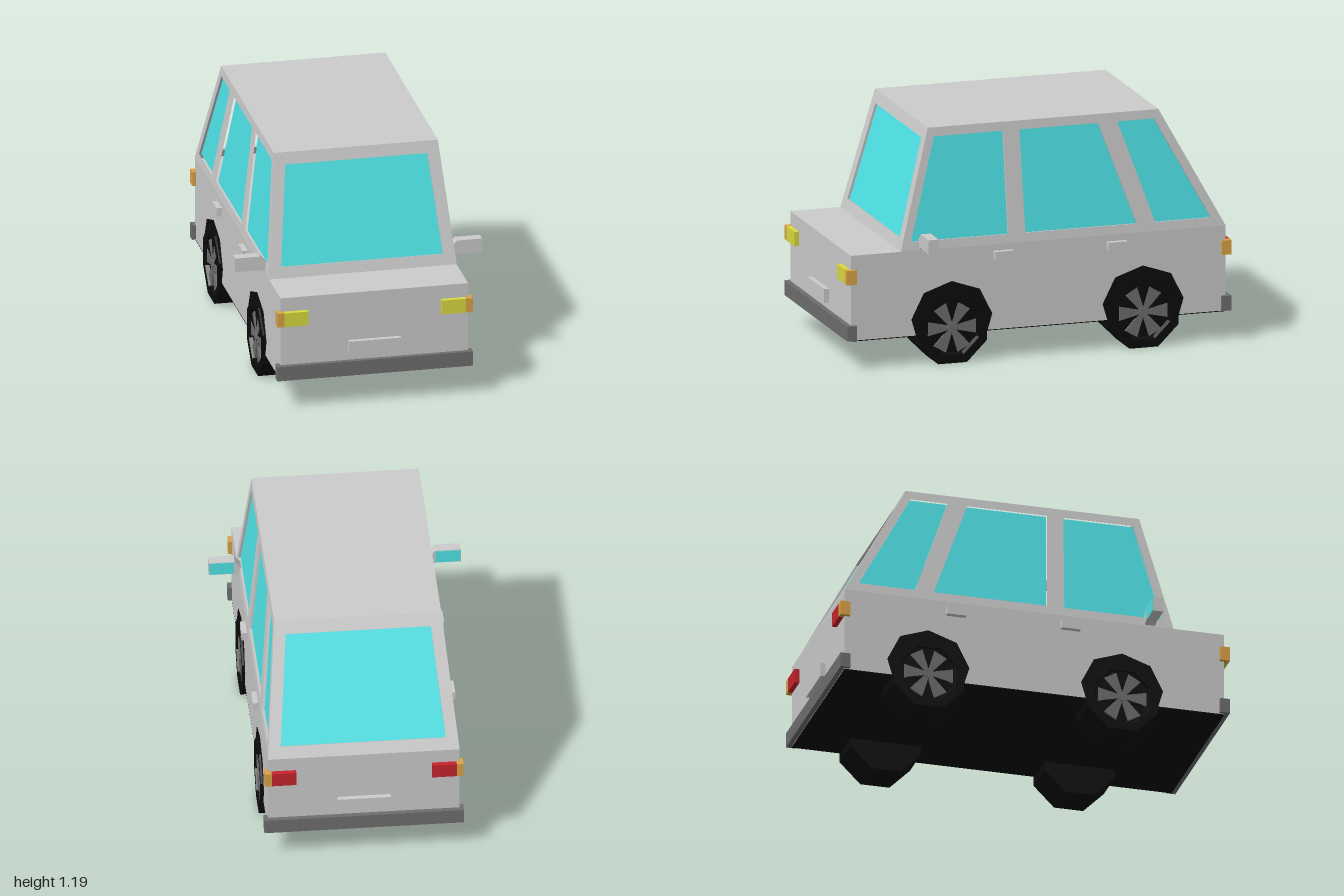
import * as THREE from 'three';

const mat = (color) => new THREE.MeshStandardMaterial({ color, flatShading: true });

export function createModel() {
  const car = new THREE.Group();
  car.name = 'car';
  const grey = mat(0xcccccc), dark = mat(0x6e6e6e), black = mat(0x0b0b0b), glass = mat(0x4fe4e8);
  const yellow = mat(0xdada40), orange = mat(0xdba446), red = mat(0xc8242e);

  const add = (name, geometry, material, parent = car) => {
    const mesh = new THREE.Mesh(geometry, material);
    mesh.name = name;
    parent.add(mesh);
    return mesh;
  };
  // box given by its limits on each axis
  const box = (name, [x0, x1], [y0, y1], [z0, z1], material) => {
    const g = new THREE.BoxGeometry(Math.abs(x1 - x0), y1 - y0, Math.abs(z1 - z0));
    g.translate((x0 + x1) / 2, (y0 + y1) / 2, (z0 + z1) / 2);
    return add(name, g, material);
  };
  const poly = (pts) => new THREE.Shape(pts.map((p) => new THREE.Vector2(...p)));

  // lower body and underside
  const W = 0.475, L = 0.975, BELT = 0.585, ROOF = 1.19;
  box('lowerBody', [-W, W], [0.152, BELT], [-L, L], grey);
  box('floor', [-W, W], [0.148, 0.152], [-L, L], black);

  // cabin: sloped panels with window openings and recessed glass
  const roofW = 0.415, zf0 = 0.715, zf1 = 0.555, zb0 = -L, zb1 = -0.645;
  // across = horizontal axis of the panel, base = its origin at belt height,
  // lean = horizontal shift per unit of height; points are [across, height]
  const panel = (name, across, base, lean, outline, windows) => {
    const up = lean.clone().setY(1);
    const out = across.clone().cross(up).normalize();
    const origin = base.clone().addScaledVector(up, -BELT);
    const m = new THREE.Matrix4().makeBasis(across, up, out).setPosition(origin);
    const t = 0.02;
    const shape = poly(outline);
    shape.holes = windows.map((w) => new THREE.Path(w.map((p) => new THREE.Vector2(...p))));
    const frame = new THREE.ExtrudeGeometry(shape, { depth: t, bevelEnabled: false });
    add(name + 'Frame', frame.translate(0, 0, -t).applyMatrix4(m), grey);
    windows.forEach((w) => {
      const pane = new THREE.ShapeGeometry(poly(w)).translate(0, 0, -0.012);
      add(name + 'Glass', pane.applyMatrix4(m), glass);
    });
  };
  const V = (x, y, z) => new THREE.Vector3(x, y, z);
  const rise = ROOF - BELT;
  const endOutline = [[-W, BELT], [W, BELT], [roofW, ROOF], [-roofW, ROOF]];
  const endWindow = [[-0.41, 0.64], [0.41, 0.64], [0.36, 1.13], [-0.36, 1.13]];
  panel('windshield', V(1, 0, 0), V(0, BELT, zf0), V(0, 0, (zf1 - zf0) / rise), endOutline, [endWindow]);
  panel('rearWindow', V(-1, 0, 0), V(0, BELT, zb0), V(0, 0, (zb1 - zb0) / rise), endOutline, [endWindow]);

  // side panels as [z, y]
  const sideOutline = [[zf0, BELT], [zb0, BELT], [zb1, ROOF], [zf1, ROOF]];
  const sideWindows = [
    [[0.66, 0.63], [0.155, 0.63], [0.165, 1.145], [0.525, 1.145]],
    [[0.065, 0.63], [-0.515, 0.63], [-0.33, 1.145], [0.08, 1.145]],
    [[-0.61, 0.63], [-0.9, 0.63], [-0.62, 1.145], [-0.43, 1.145]],
  ];
  for (const s of [1, -1]) {
    const flip = (pts) => pts.map(([z, y]) => [-s * z, y]);
    panel(s > 0 ? 'leftSide' : 'rightSide', V(0, 0, -s), V(s * W, BELT, 0),
      V((-s * (W - roofW)) / rise, 0, 0), flip(sideOutline), sideWindows.map(flip));
  }
  const roof = new THREE.PlaneGeometry(2 * roofW, zf1 - zb1).rotateX(-Math.PI / 2);
  add('roof', roof.translate(0, ROOF, (zf1 + zb1) / 2), grey);

  // bumpers, number plates and lamps at both ends
  for (const e of [1, -1]) {
    const end = e > 0 ? 'front' : 'rear';
    box(end + 'Bumper', [-0.495, 0.495], [0.155, 0.23], [e * 0.95, e], dark);
    box(end + 'Plate', [-0.132, 0.132], [0.265, 0.335], [e * 0.97, e], grey);
    for (const s of [1, -1]) {
      box(e > 0 ? 'headlight' : 'tailLight', [s * 0.337, s * 0.459], [0.44, 0.513], [e * 0.96, e], e > 0 ? yellow : red);
      box(end + 'Indicator', [s * 0.459, s * 0.493], [0.44, 0.513], [e * 0.95, e], orange);
    }
  }

  // door handles and wing mirrors
  for (const s of [1, -1]) {
    for (const z of [0.183, -0.405]) {
      box('doorHandle', [s * 0.47, s * 0.502], [0.508, 0.552], [z - 0.049, z + 0.049], grey);
    }
    const outline = [[0.465, 0.585], [0.497, 0.6], [0.625, 0.6], [0.625, 0.672], [0.497, 0.672], [0.465, 0.635]];
    const housing = new THREE.ExtrudeGeometry(poly(outline.map(([x, y]) => [s * x, y])), { depth: 0.053, bevelEnabled: false });
    add('mirrorHousing', housing.translate(0, 0, 0.567), grey);
    box('mirrorGlass', [s * 0.5, s * 0.622], [0.603, 0.669], [0.565, 0.57], glass);
  }

  // wheels: eight-sided tyre with a dished face, six flared spokes and a hub
  const toX = (g) => g.rotateZ(-Math.PI / 2);
  const tyreProfile = [[0, 0.29], [0.195, 0.29], [0.195, 0.488], [0.15, 0.488], [0.14, 0.468], [0, 0.468]]
    .map((p) => new THREE.Vector2(...p));
  const tyre = toX(new THREE.LatheGeometry(tyreProfile, 8, Math.PI / 8));
  const spoke = new THREE.ExtrudeGeometry(
    poly([[0.02, -0.012], [0.125, -0.036], [0.125, 0.036], [0.02, 0.012]]), { depth: 0.012, bevelEnabled: false });
  const hub = toX(new THREE.CylinderGeometry(0.026, 0.026, 0.02, 8)).translate(0.476, 0, 0);
  const arch = poly([[-0.185, 0.15], [0.185, 0.15], [0.21, 0.235], [0.145, 0.365], [0, 0.415], [-0.145, 0.365], [-0.21, 0.235]]);
  for (const z of [0.45, -0.545]) {
    for (const s of [1, -1]) {
      const wheel = new THREE.Group();
      wheel.name = z > 0 ? 'frontWheel' : 'rearWheel';
      wheel.position.set(0, 0.18, z);
      wheel.rotation.y = s > 0 ? 0 : Math.PI;
      add('tyre', tyre, black, wheel);
      add('hub', hub, dark, wheel);
      for (let i = 0; i < 6; i++) {
        const g = spoke.clone().rotateZ((i * Math.PI) / 3).rotateY(Math.PI / 2);
        add('spoke', g.translate(0.468, 0, 0), dark, wheel);
      }
      car.add(wheel);
      // dark wheel arch on the body side
      const a = add('wheelArch', new THREE.ExtrudeGeometry(arch, { depth: 0.008, bevelEnabled: false }), black);
      a.rotation.y = (s * Math.PI) / 2;
      a.position.set(s * 0.47, 0, z);
    }
  }
  return car;
}
